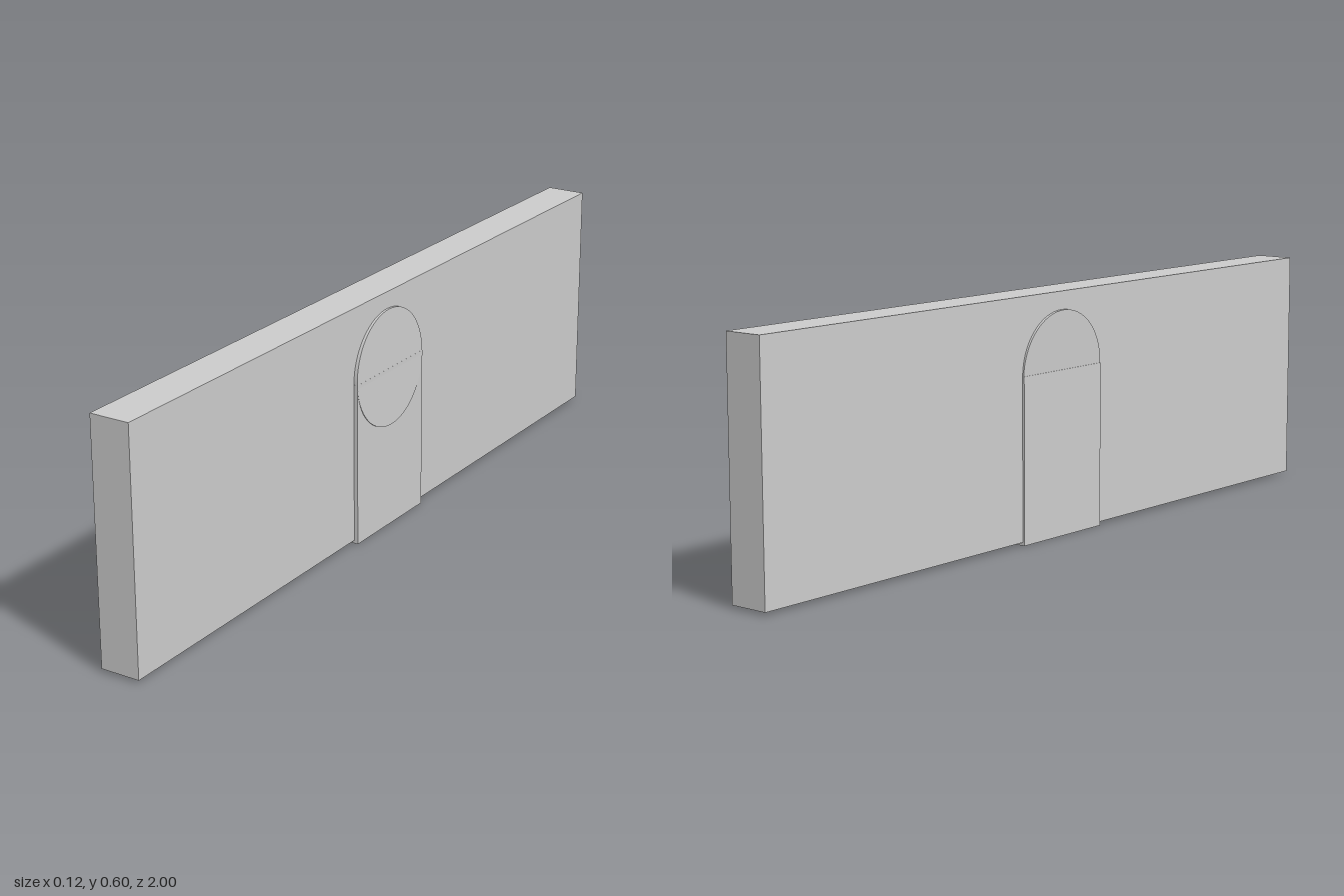
import * as THREE from 'three';

const material = new THREE.MeshStandardMaterial({ color: 0xcccccc });

function addPart(group, name, geometry, x, y, z) {
  const mesh = new THREE.Mesh(geometry, material);
  mesh.name = name;
  mesh.position.set(x, y, z);
  group.add(mesh);
  return mesh;
}

export function createModel() {
  const group = new THREE.Group();
  group.name = 'panelWithClip';

  // Long upright panel
  addPart(group, 'panel', new THREE.BoxGeometry(0.101, 0.594, 2), -0.0035, 0.305, 0);

  // Block through the panel, slightly proud of both faces and the bottom
  addPart(group, 'clipBody', new THREE.BoxGeometry(0.116, 0.411, 0.295), -0.001, 0.2055, 0.002);

  // Round head of the clip: a disc across the panel, tilted a little
  const disc = new THREE.CylinderGeometry(0.1475, 0.1475, 0.1145, 64).rotateZ(-Math.PI / 2);
  addPart(group, 'clipHead', disc, -0.0005, 0.411, 0.002).rotation.z = 0.024;

  return group;
}
